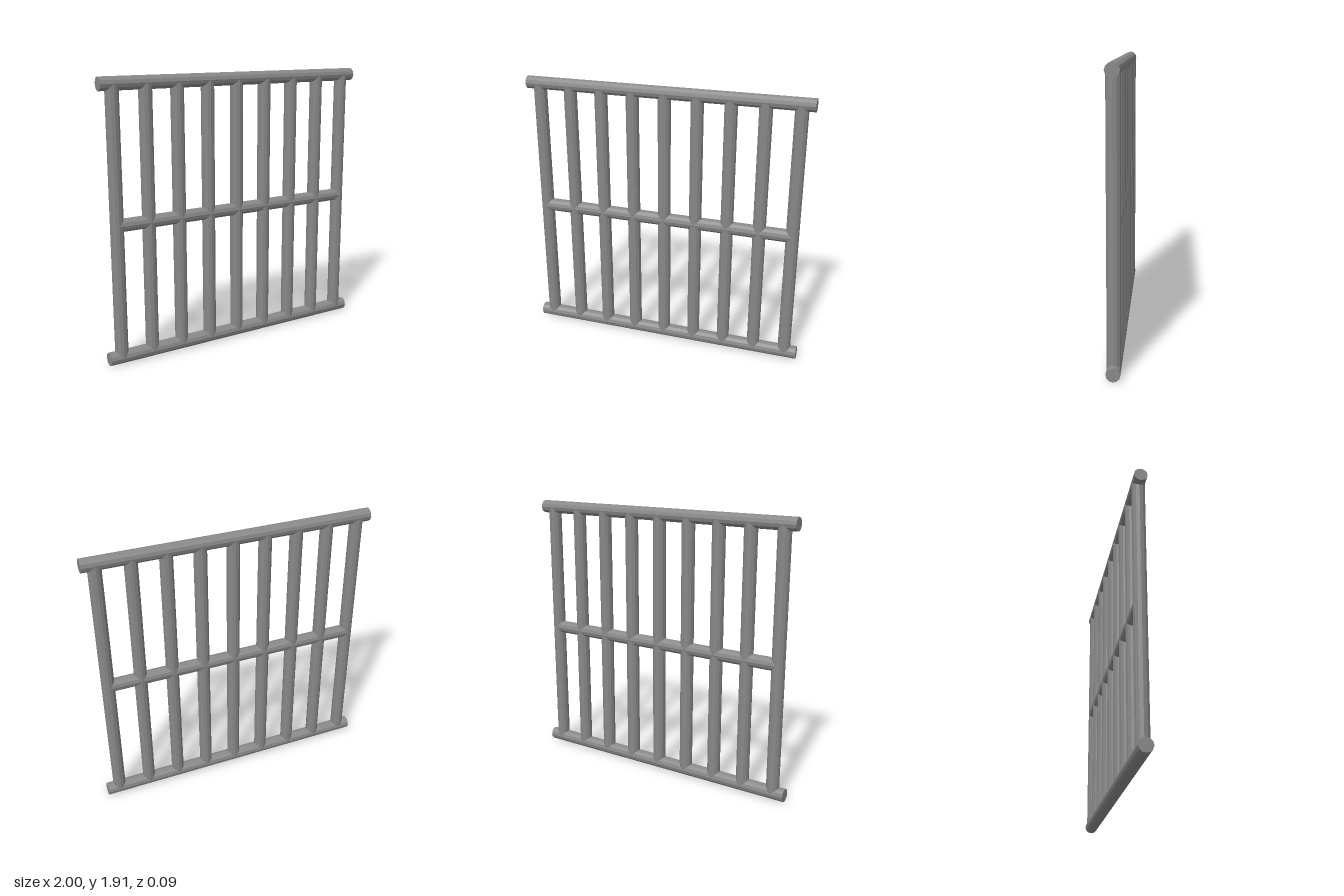
import * as THREE from 'three';

const RADIUS = 0.045;
const SIDES = 12;

export function createModel() {
  const model = new THREE.Group();
  model.name = 'barredPanel';
  // Dark grey metal
  const material = new THREE.MeshStandardMaterial({ color: 0x888888, flatShading: true });

  // Round bar of a given length, upright or lying along x
  function addBar(name, length, x, y, lying) {
    const geometry = new THREE.CylinderGeometry(RADIUS, RADIUS, length, SIDES);
    if (lying) geometry.rotateZ(Math.PI / 2);
    const bar = new THREE.Mesh(geometry, material);
    bar.name = name;
    bar.position.set(x, y, 0);
    model.add(bar);
  }

  const bottomY = RADIUS;
  const topY = 1.865;
  const midY = (bottomY + topY) / 2;
  const outerX = 0.91;

  // Horizontal rails; the middle one stops inside the outer posts
  addBar('bottomRail', 2, 0, bottomY, true);
  addBar('topRail', 2, 0, topY, true);
  addBar('middleRail', outerX * 2, 0, midY, true);

  // Nine evenly spaced upright bars
  const count = 9;
  for (let i = 0; i < count; i++) {
    const x = -outerX + (2 * outerX * i) / (count - 1);
    addBar('uprightBar' + (i + 1), topY - bottomY, x, midY, false);
  }

  return model;
}
